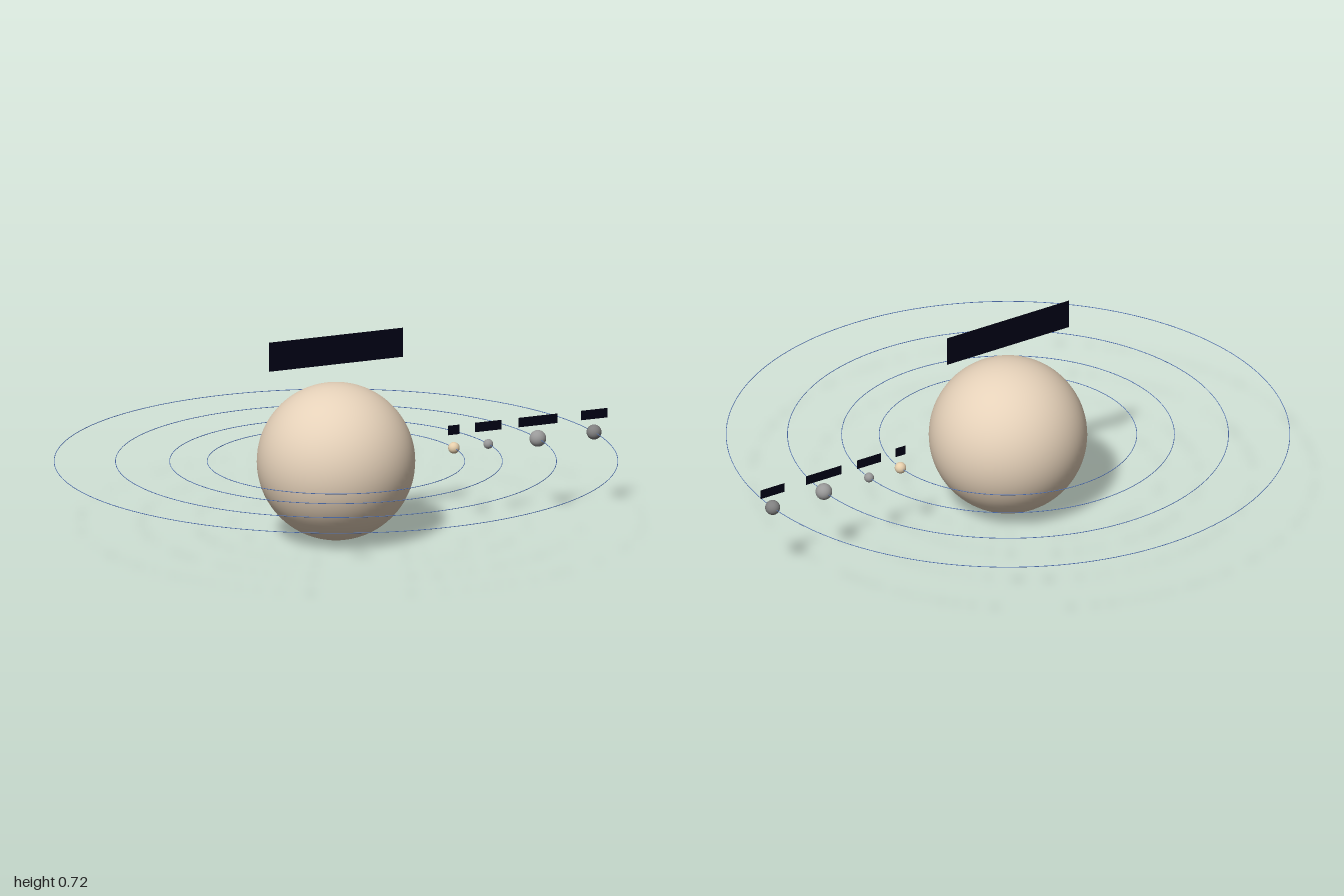
import * as THREE from 'three';

const CX = -0.0235; // planet axis
const CY = 0.277;   // orbital plane height

function flat(name, color, side = THREE.FrontSide) {
  const m = new THREE.MeshStandardMaterial({ color, side });
  m.name = name;
  return m;
}

export function createModel() {
  const group = new THREE.Group();
  group.name = 'planetWithMoons';

  const tan = flat('planet tan', 0xe5d1b9);
  const sand = flat('moon sand', 0xe6cfac);
  const grey = flat('moon grey', 0x999999);
  const darkGrey = flat('moon dark grey', 0x808080);
  const orbitBlue = flat('orbit blue', 0x5577bb);
  const navy = flat('panel navy', 0x000014, THREE.DoubleSide);

  const add = (name, geometry, material, x, y) => {
    const mesh = new THREE.Mesh(geometry, material);
    mesh.name = name;
    mesh.position.set(x, y, 0);
    group.add(mesh);
    return mesh;
  };

  // Central planet and its blank caption panel
  add('planet', new THREE.SphereGeometry(0.274, 64, 48), tan, CX, CY);
  add('planetPanel', new THREE.PlaneGeometry(0.506, 0.104), navy, CX, 0.675);

  // Each moon has a thin orbit ring and a small panel above it
  const moons = [
    { orbit: 0.445, radius: 0.020, panel: 0.043, material: sand },
    { orbit: 0.575, radius: 0.017, panel: 0.099, material: grey },
    { orbit: 0.762, radius: 0.029, panel: 0.147, material: grey },
    { orbit: 0.974, radius: 0.026, panel: 0.100, material: darkGrey },
  ];
  moons.forEach(({ orbit, radius, panel, material }, i) => {
    const x = CX + orbit;
    const ring = new THREE.TorusGeometry(orbit, 0.0012, 6, 160).rotateX(Math.PI / 2);
    add(`orbit${i + 1}`, ring, orbitBlue, CX, CY);
    add(`moon${i + 1}`, new THREE.SphereGeometry(radius, 32, 24), material, x, CY);
    add(`moonPanel${i + 1}`, new THREE.PlaneGeometry(panel, 0.034), navy, x, 0.341);
  });

  return group;
}
